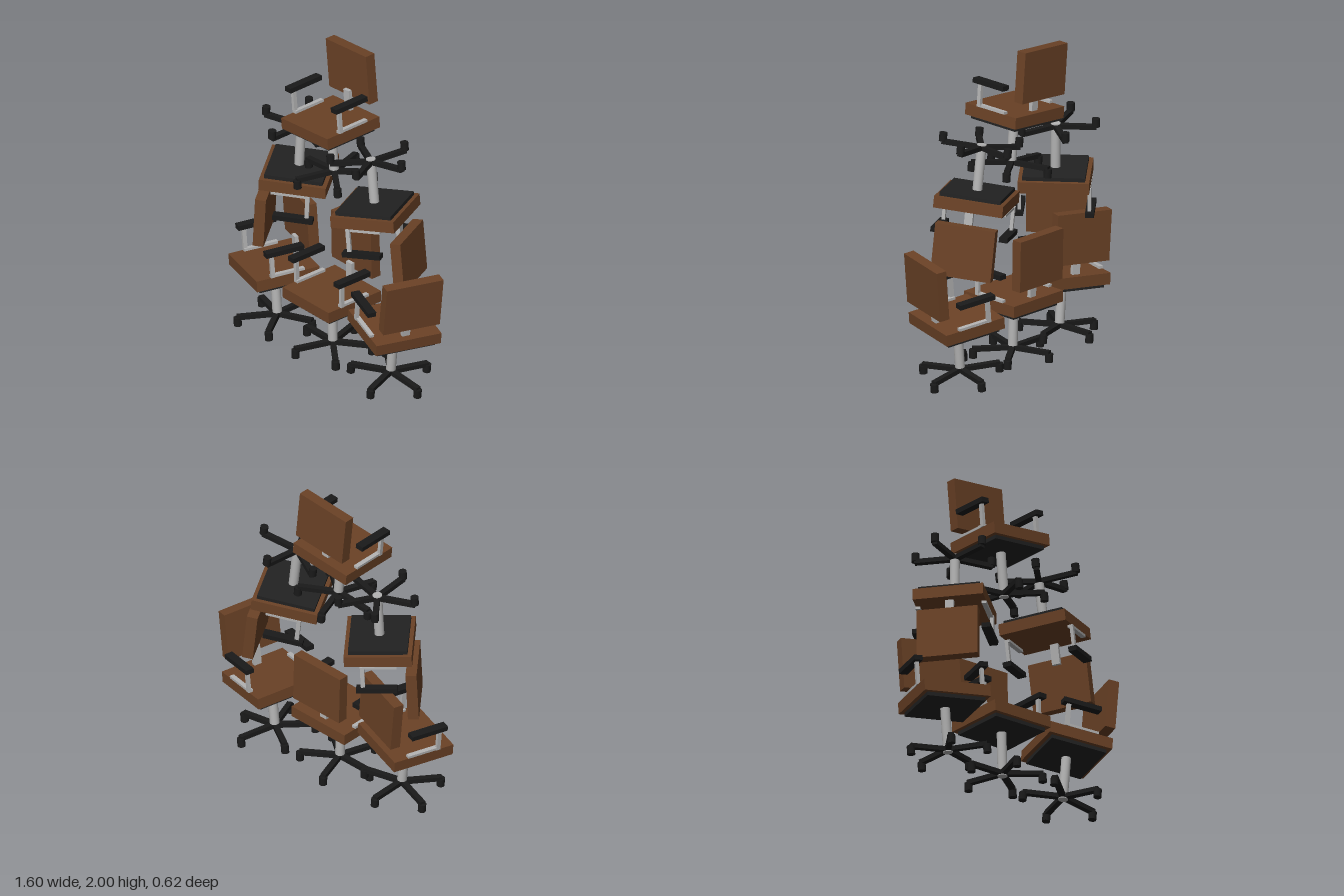
import * as THREE from 'three';

const mat = (name, color, extra) => {
  const m = new THREE.MeshStandardMaterial({ color });
  m.name = name;
  return m;
};

const brown = mat('brown upholstery', 0x6b4226);
const tray = mat('dark grey tray', 0x222222);
const black = mat('black plastic', 0x1a1a1a);
const grey = mat('grey metal', 0xb4b4b4);

function add(parent, name, geometry, material, x, y, z) {
  const mesh = new THREE.Mesh(geometry, material);
  mesh.name = name;
  mesh.position.set(x, y, z);
  parent.add(mesh);
  return mesh;
}

const box = (w, h, d) => new THREE.BoxGeometry(w, h, d);

// One office chair; the origin is the centre of the star base
function createChair() {
  const chair = new THREE.Group();

  // Cushions and the plate under the seat
  add(chair, 'seat', box(0.42, 0.07, 0.4), brown, 0, 0.312, 0);
  add(chair, 'seatTray', box(0.37, 0.024, 0.35), tray, 0, 0.266, 0);
  add(chair, 'backrest', box(0.365, 0.312, 0.065), brown, 0, 0.588, -0.188);
  add(chair, 'backSupport', box(0.05, 0.14, 0.025), grey, 0, 0.405, -0.145);

  // Gas column
  add(chair, 'column', new THREE.CylinderGeometry(0.029, 0.029, 0.28, 24), grey, 0, 0.117, 0);

  // Five legged base with casters
  for (let i = 0; i < 5; i++) {
    const spoke = new THREE.Group();
    spoke.name = 'baseSpoke';
    spoke.rotation.y = Math.PI + (i * Math.PI * 2) / 5;
    add(spoke, 'leg', box(0.24, 0.028, 0.034), black, 0.12, -0.004, 0);
    add(spoke, 'caster', new THREE.CylinderGeometry(0.024, 0.024, 0.052, 16), black, 0.236, -0.032, 0);
    chair.add(spoke);
  }

  // Armrests: rail on the seat edge, front post, pad
  for (const side of [-1, 1]) {
    const arm = new THREE.Group();
    arm.name = side > 0 ? 'leftArmrest' : 'rightArmrest';
    add(arm, 'armRail', box(0.028, 0.016, 0.215), grey, side * 0.198, 0.355, 0);
    add(arm, 'armPost', box(0.02, 0.145, 0.025), grey, side * 0.206, 0.42, 0.095);
    add(arm, 'armPad', box(0.052, 0.03, 0.24), black, side * 0.208, 0.506, 0.015);
    chair.add(arm);
  }
  return chair;
}

export function createModel() {
  const model = new THREE.Group();
  model.name = 'chairPyramid';

  // Position of the base, yaw, roll and pitch in radians, upside down or not
  const placements = [
    { name: 'bottomMiddleChair', at: [-0.042, 0.075, 0.02], yaw: -0.09, roll: 0.025, pitch: 0 },
    { name: 'bottomRightChair', at: [-0.495, 0.08, 0.025], yaw: -0.38, roll: 0.085, pitch: 0 },
    { name: 'bottomLeftChair', at: [0.447, 0.08, 0.03], yaw: -1.927, roll: -0.1, pitch: 0 },
    { name: 'flippedRightChair', at: [-0.368, 1.37, -0.045], yaw: 2.164, roll: -0.035, pitch: -0.03, flipped: true },
    { name: 'flippedLeftChair', at: [0.266, 1.41, 0.012], yaw: -1.16, roll: 0.13, pitch: -0.02, flipped: true },
    { name: 'topChair', at: [-0.03, 1.237, 0.02], yaw: -0.083, roll: 0.097, pitch: 0 },
  ];

  for (const p of placements) {
    const holder = new THREE.Group();
    holder.name = p.name;
    holder.position.set(...p.at);
    holder.rotation.set(p.pitch, p.yaw, p.roll, 'ZXY');
    const chair = createChair();
    chair.name = 'chair';
    if (p.flipped) chair.rotation.z = Math.PI;
    holder.add(chair);
    model.add(holder);
  }
  return model;
}
